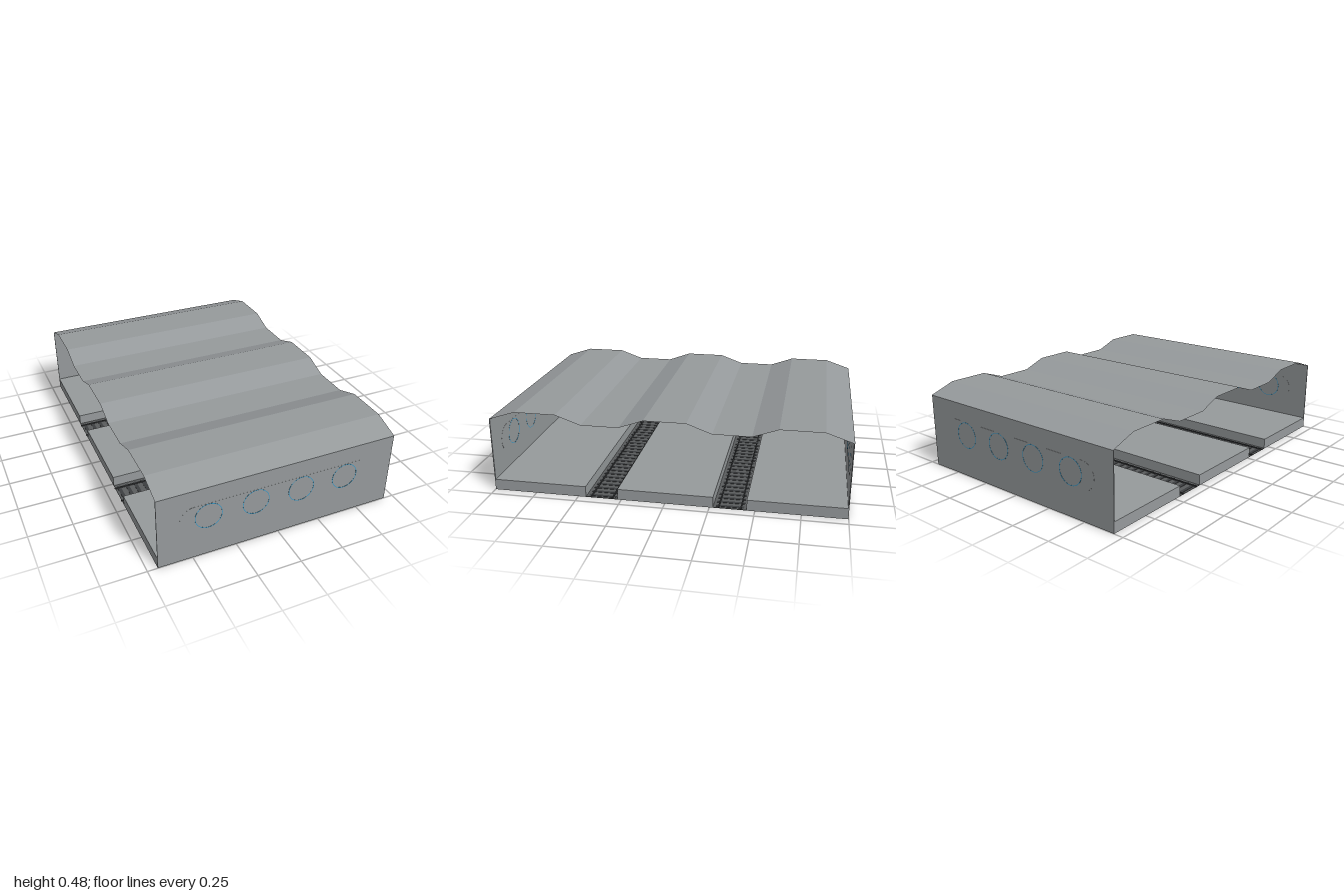
import * as THREE from 'three';

export function createModel() {
  const model = new THREE.Group();
  model.name = 'stationHall';

  const concrete = new THREE.MeshStandardMaterial({ color: 0x969a9c, side: THREE.DoubleSide });
  concrete.name = 'concreteGrey';
  const bedDark = new THREE.MeshStandardMaterial({ color: 0x5a5c5d });
  bedDark.name = 'trackBedGrey';
  const railDark = new THREE.MeshStandardMaterial({ color: 0x3c3e40 });
  railDark.name = 'railGrey';
  const blue = new THREE.MeshStandardMaterial({ color: 0x3a9ac8 });
  blue.name = 'ringBlue';

  const W = 1.386;

  function add(parent, name, geometry, material, x = 0, y = 0, z = 0) {
    const mesh = new THREE.Mesh(geometry, material);
    mesh.name = name;
    mesh.position.set(x, y, z);
    parent.add(mesh);
    return mesh;
  }

  function box(parent, name, w, h, d, material, x, y, z) {
    return add(parent, name, new THREE.BoxGeometry(w, h, d), material, x, y, z);
  }

  // Folded roof sheet: three flat crests with valleys between
  const profile = [
    [-1, 0.432], [-0.85, 0.482], [-0.612, 0.482], [-0.472, 0.432],
    [-0.26, 0.432], [-0.12, 0.482], [0.115, 0.482], [0.253, 0.432],
    [0.467, 0.432], [0.61, 0.482], [0.847, 0.482], [1, 0.432],
  ];
  const sheet = new THREE.PlaneGeometry(W, 2, 1, profile.length - 1);
  sheet.rotateX(-Math.PI / 2);
  const pos = sheet.attributes.position;
  for (let i = 0; i < pos.count; i++) {
    const [z, y] = profile[Math.floor(i / 2)];
    pos.setY(i, y);
    pos.setZ(i, z);
  }
  const roof = sheet.toNonIndexed();
  roof.computeVertexNormals();
  add(model, 'roof', roof, concrete);

  // Long rounded panel and thin ring, both showing on each face of a wall
  const panel = new THREE.Shape();
  panel.moveTo(-0.49, -0.08);
  panel.lineTo(0.49, -0.08);
  panel.absarc(0.49, 0, 0.08, -Math.PI / 2, Math.PI / 2, false);
  panel.lineTo(-0.49, 0.08);
  panel.absarc(-0.49, 0, 0.08, Math.PI / 2, Math.PI * 1.5, false);
  const ring = new THREE.Shape();
  ring.absarc(0, 0, 0.077, 0, Math.PI * 2, false);
  const hole = new THREE.Path();
  hole.absarc(0, 0, 0.0735, 0, Math.PI * 2, true);
  ring.holes.push(hole);

  function extrude(shape, depth) {
    const g = new THREE.ExtrudeGeometry(shape, { depth, bevelEnabled: false, curveSegments: 24 });
    return g.translate(0, 0, -depth / 2);
  }
  const panelGeometry = extrude(panel, 0.0064);
  const ringGeometry = extrude(ring, 0.008);

  // End walls
  for (const [name, side] of [['frontWall', 1], ['backWall', -1]]) {
    const wall = new THREE.Group();
    wall.name = name;
    wall.position.z = side * 0.996;
    model.add(wall);
    box(wall, 'wallSlab', W, 0.432, 0.005, concrete, 0, 0.216, 0);
    add(wall, 'roundedPanel', panelGeometry, concrete, 0, 0.25, 0);
    for (const x of [-0.41, -0.141, 0.127, 0.395]) {
      add(wall, 'portholeRing', ringGeometry, blue, x, 0.25, 0);
    }
  }

  // Platforms
  box(model, 'frontPlatform', W, 0.063, 0.538, concrete, 0, 0.0315, 0.7245);
  box(model, 'middlePlatform', W, 0.063, 0.54, concrete, 0, 0.0315, 0);
  box(model, 'backPlatform', W, 0.063, 0.538, concrete, 0, 0.0315, -0.7245);

  // Track beds, sleepers and rails
  for (const z of [0.3625, -0.3625]) {
    const track = new THREE.Group();
    track.name = z > 0 ? 'frontTrack' : 'backTrack';
    track.position.z = z;
    model.add(track);
    box(track, 'trackBed', W, 0.003, 0.185, bedDark, 0, 0.0015, 0);
    for (let i = 0; i < 28; i++) {
      box(track, 'sleeper', 0.02, 0.002, 0.155, railDark, -0.67 + i * (1.34 / 27), 0.004, 0);
    }
    for (const dz of [-0.061, 0.061]) {
      box(track, 'rail', 1.394, 0.007, 0.007, railDark, 0, 0.0055, dz);
    }
  }

  return model;
}
